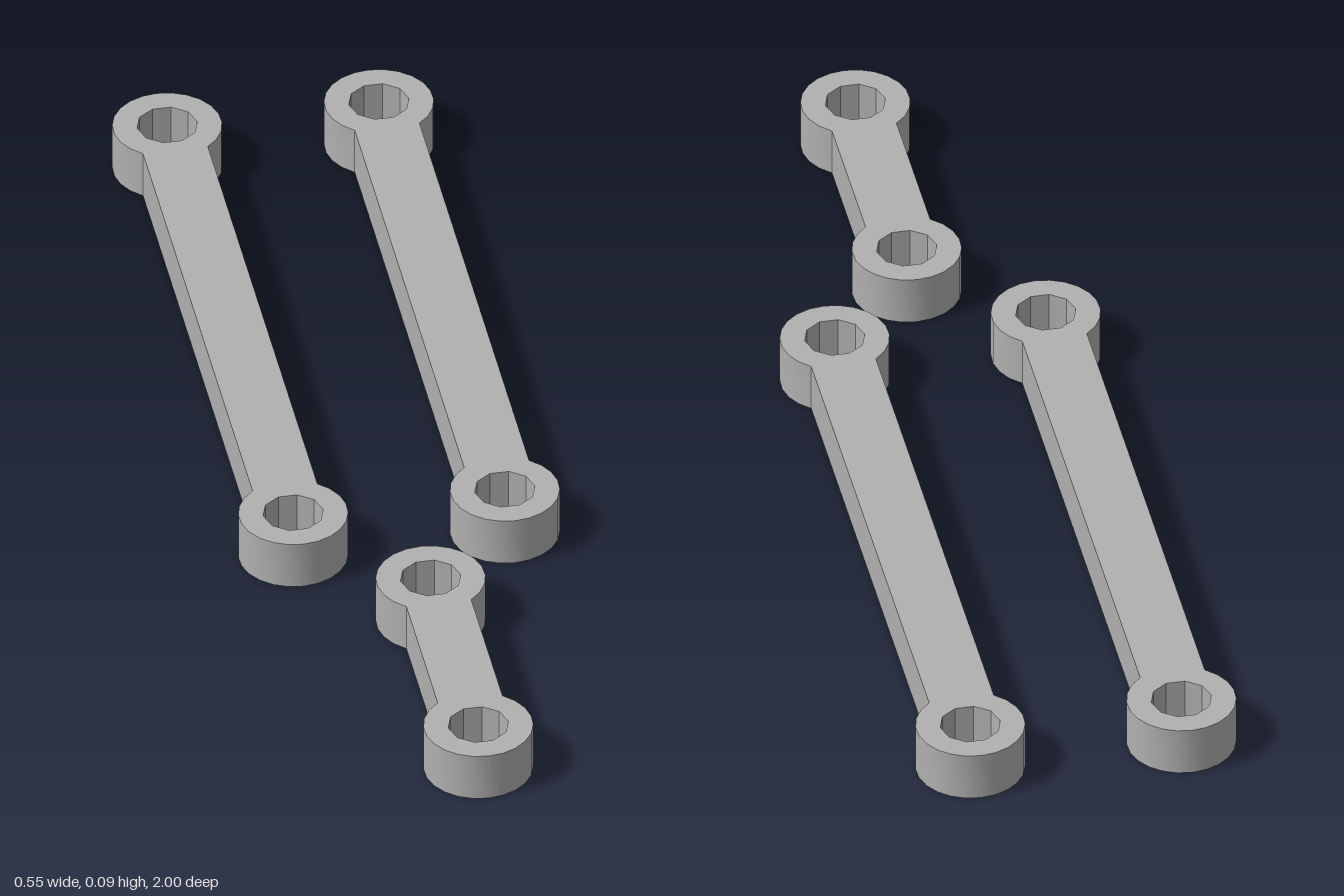
import * as THREE from 'three';
import { toCreasedNormals } from 'three/addons/utils/BufferGeometryUtils.js';

const HEIGHT = 0.088;
const EYE_RADIUS = 0.0935;
const HOLE_RADIUS = 0.052;
const BAR_HALF = 0.056;

// Points along an arc about (0, cy)
function arc(cy, radius, from, to, steps) {
  return Array.from({ length: steps + 1 }, (_, i) => {
    const a = from + ((to - from) * i) / steps;
    return new THREE.Vector2(radius * Math.cos(a), cy + radius * Math.sin(a));
  });
}

// Flat link with a round eye at each end, lying along z
function linkGeometry(spacing) {
  const h = spacing / 2;
  const neck = Math.asin(BAR_HALF / EYE_RADIUS);
  const shape = new THREE.Shape([
    ...arc(-h, EYE_RADIUS, Math.PI / 2 + neck, Math.PI * 2.5 - neck, 18),
    ...arc(h, EYE_RADIUS, -Math.PI / 2 + neck, Math.PI * 1.5 - neck, 18),
  ]);
  for (const cy of [-h, h]) {
    shape.holes.push(new THREE.Path(arc(cy, HOLE_RADIUS, 0, Math.PI * 2, 10).slice(0, -1)));
  }
  const geometry = new THREE.ExtrudeGeometry(shape, { depth: HEIGHT, bevelEnabled: false });
  geometry.rotateX(-Math.PI / 2);
  // Smooth eye walls, sharp rims and faceted holes
  return toCreasedNormals(geometry, 0.5);
}

export function createModel() {
  const group = new THREE.Group();
  group.name = 'linkSet';
  const grey = new THREE.MeshStandardMaterial({ color: 0xb0b0b0 });
  grey.name = 'grey';

  const addLink = (name, x, zBack, zFront) => {
    const mesh = new THREE.Mesh(linkGeometry(zFront - zBack), grey);
    mesh.name = name;
    mesh.position.set(x, 0, (zBack + zFront) / 2);
    group.add(mesh);
  };

  // Two long links side by side, one short link in front
  addLink('longLinkRight', -0.183, -0.9065, 0.242);
  addLink('longLinkLeft', 0.183, -0.9065, 0.242);
  addLink('shortLink', 0.011, 0.472, 0.9065);
  return group;
}
